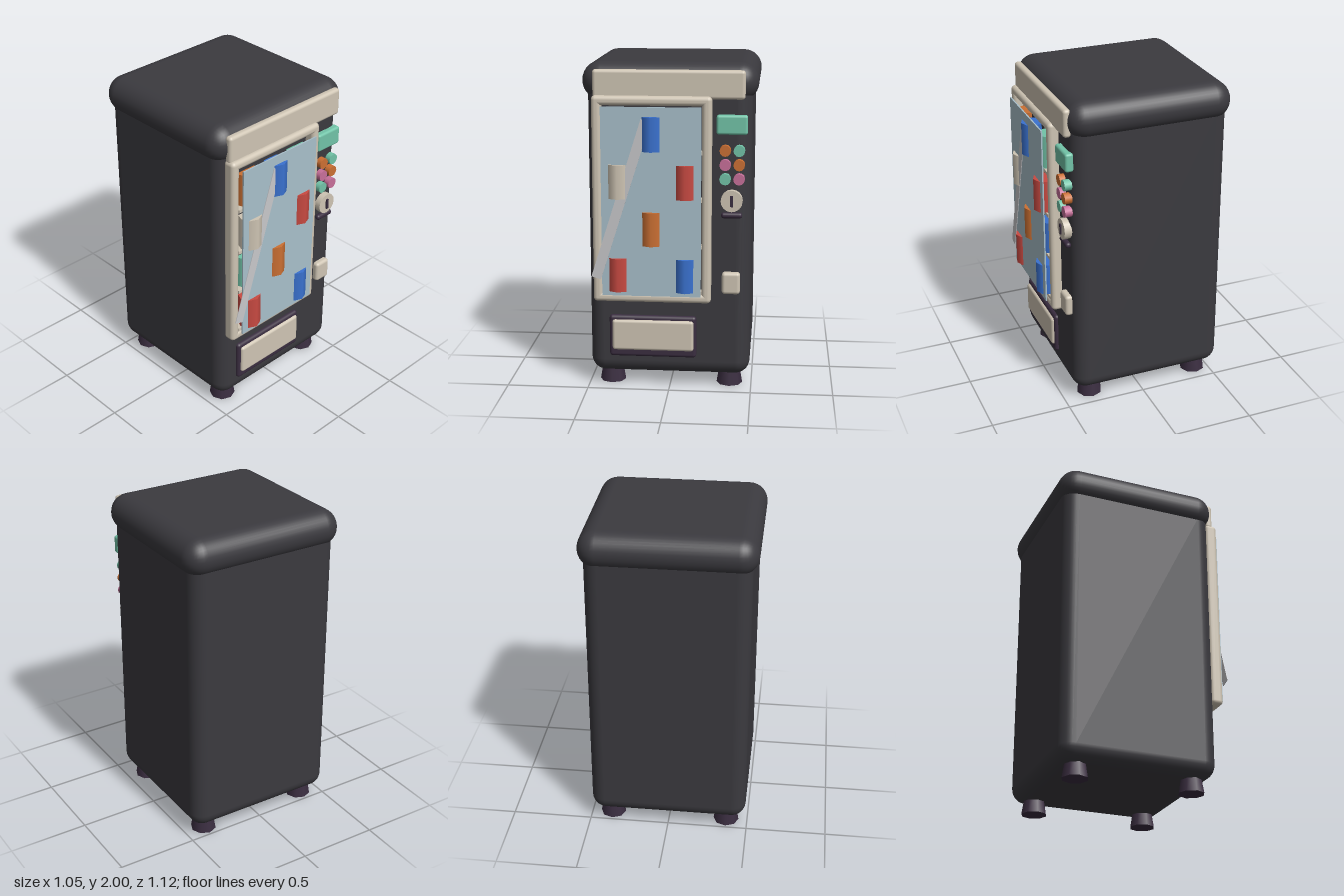
import * as THREE from 'three';
import { RoundedBoxGeometry } from 'three/addons/geometries/RoundedBoxGeometry.js';

const palette = {
  charcoal: 0x3b3a3f, cream: 0xcfc5b4, glassBlue: 0xa9c0cb, darkPlum: 0x3a2d40, teal: 0x72c4a8,
  orange: 0xcc7033, pink: 0xc8709a, red: 0xc94a42, blue: 0x3a72d0, glare: 0xc8c8cb,
};

export function createModel() {
  const model = new THREE.Group();
  model.name = 'vendingMachine';
  const mats = {};
  for (const [name, color] of Object.entries(palette)) {
    mats[name] = new THREE.MeshStandardMaterial({ color });
    mats[name].name = name;
  }

  const add = (name, geometry, mat, x, y, z) => {
    const mesh = new THREE.Mesh(geometry, mats[mat]);
    mesh.name = name;
    mesh.position.set(x, y, z);
    model.add(mesh);
    return mesh;
  };
  // Rounded box given by its extents
  const block = (name, mat, [x0, x1], [y0, y1], [z0, z1], radius, segments = 3) =>
    add(name, new RoundedBoxGeometry(x1 - x0, y1 - y0, z1 - z0, segments, radius), mat,
      (x0 + x1) / 2, (y0 + y1) / 2, (z0 + z1) / 2);
  // Short cylinder facing the front
  const disc = (name, mat, x, y, z, radius, depth, sides) =>
    add(name, new THREE.CylinderGeometry(radius, radius, depth, sides).rotateX(Math.PI / 2), mat, x, y, z);

  // Cabinet, cap and sign
  block('cabinet', 'charcoal', [-0.49, 0.49], [0.08, 1.9], [-0.535, 0.447], 0.09, 4);
  block('cap', 'charcoal', [-0.524, 0.524], [1.77, 2], [-0.56, 0.467], 0.114, 4);
  block('signPanel', 'cream', [-0.449, 0.447], [1.79, 1.96], [0.435, 0.483], 0.02);

  // Feet
  for (const x of [-0.365, 0.365])
    for (const z of [-0.405, 0.318])
      add('foot', new THREE.CylinderGeometry(0.06, 0.08, 0.12, 8), 'darkPlum', x, 0.06, z);

  // Window frame
  const frameZ = [0.43, 0.51];
  for (const x of [-0.455, 0.197]) block('frameSide', 'cream', [x, x + 0.058], [0.56, 1.81], frameZ, 0.025);
  for (const y of [0.56, 1.752]) block('frameRail', 'cream', [-0.455, 0.255], [y, y + 0.058], frameZ, 0.025);

  // Glass with a diagonal glare strip
  add('glass', new THREE.BoxGeometry(0.592, 1.14, 0.009), 'glassBlue', -0.1, 1.18, 0.53);
  add('glareStrip', new THREE.BoxGeometry(0.06, 1, 0.004), 'glare', -0.28, 1.195, 0.538).rotation.z = -0.307;

  // Shelves and cans; every second can pokes through the glass
  const cans = [
    ['orange', 'blue', 'teal'],
    ['cream', 'orange', 'red'],
    ['teal', 'orange', 'blue'],
    ['red', 'cream', 'blue'],
  ];
  cans.forEach((row, r) => {
    const y = 1.59 - r * 0.284;
    add('shelf', new THREE.BoxGeometry(0.6, 0.02, 0.07), 'cream', -0.1, y - 0.113, 0.47);
    row.forEach((mat, c) => {
      const front = (r + c) % 2 === 1;
      add('can', new THREE.CylinderGeometry(0.07, 0.07, 0.205, 8), mat, -0.3 + c * 0.2, y, front ? 0.49 : 0.454);
    });
  });

  // Display and selection buttons
  block('display', 'teal', [0.28, 0.463], [1.585, 1.7], [0.43, 0.482], 0.015);
  const buttons = [['orange', 'teal'], ['pink', 'orange'], ['teal', 'pink']];
  buttons.forEach((row, r) => row.forEach((mat, c) =>
    disc('button', mat, 0.333 + c * 0.082, 1.49 - r * 0.085, 0.46, 0.034, 0.046, 12)));

  // Coin slot
  disc('coinPlate', 'cream', 0.373, 1.19, 0.46, 0.065, 0.05, 16);
  add('coinSlot', new THREE.BoxGeometry(0.018, 0.065, 0.02), 'darkPlum', 0.373, 1.19, 0.483);
  block('coinLip', 'darkPlum', [0.31, 0.436], [1.083, 1.118], [0.443, 0.478], 0.016);
  block('coinReturn', 'cream', [0.318, 0.428], [0.615, 0.75], [0.43, 0.484], 0.02);

  // Pickup tray
  block('trayFrame', 'darkPlum', [-0.366, 0.166], [0.2, 0.463], [0.42, 0.47], 0.02);
  block('trayFlap', 'cream', [-0.347, 0.15], [0.245, 0.438], [0.435, 0.486], 0.018);

  return model;
}
